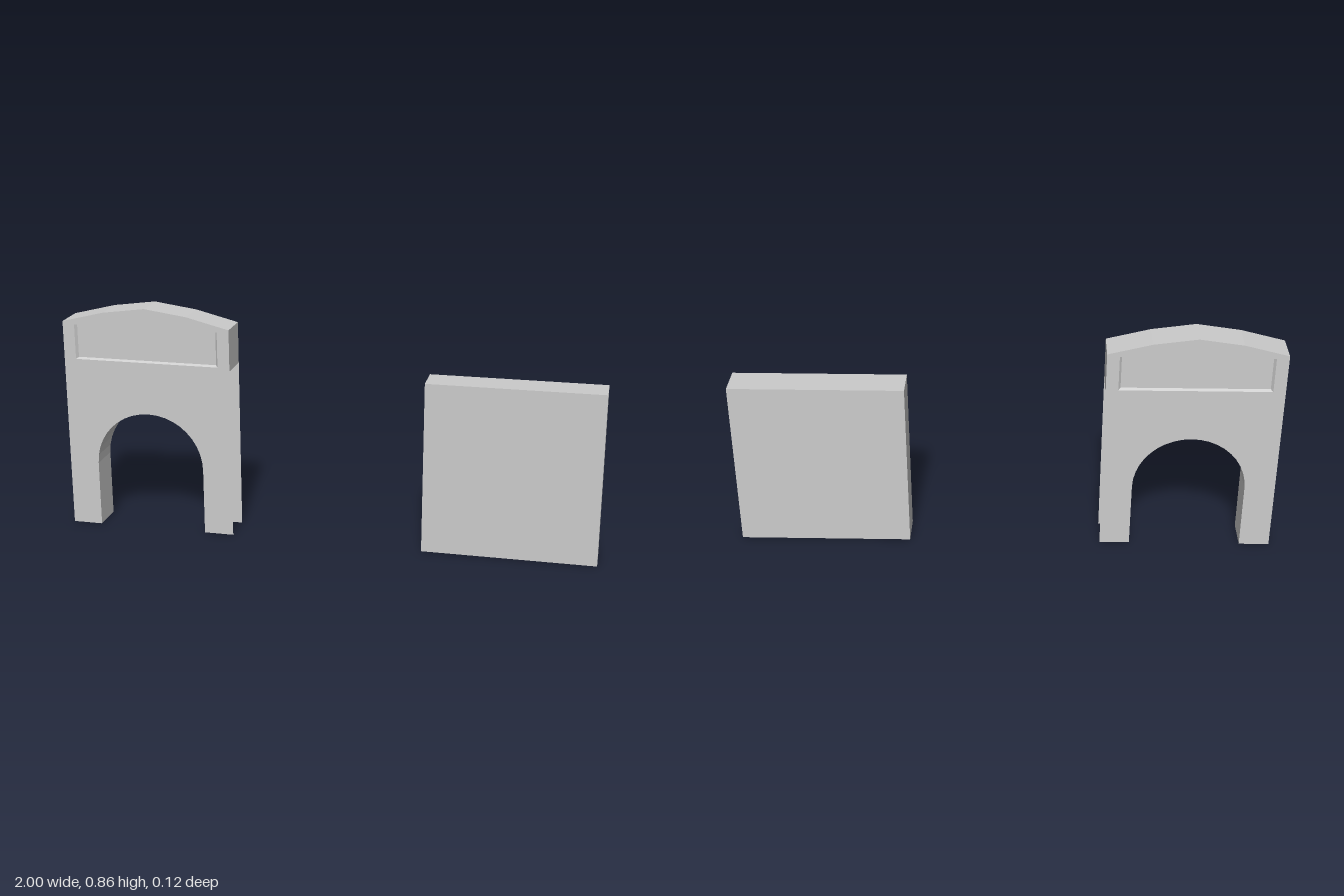
import * as THREE from 'three';

const HALF = 0.062;   // half thickness of both slabs
const CX = -0.68;     // centre line of the archway
const W = 0.32;       // half width of both slabs
const EAVE = 0.645;   // lower edge of the side returns

const material = new THREE.MeshStandardMaterial({
  color: 0xcccccc, flatShading: true, side: THREE.DoubleSide,
});

function mesh(name, geometry) {
  const m = new THREE.Mesh(geometry, material);
  m.name = name;
  return m;
}

// Ribbon joining two outlines with equal numbers of [x, y, z] points
function ribbon(a, b) {
  const pos = [];
  for (let i = 0; i < a.length - 1; i++) {
    pos.push(...a[i], ...b[i], ...b[i + 1], ...a[i], ...b[i + 1], ...a[i + 1]);
  }
  const g = new THREE.BufferGeometry();
  g.setAttribute('position', new THREE.Float32BufferAttribute(pos, 3));
  g.computeVertexNormals();
  return g;
}

const atZ = (points, z) => points.map(([x, y]) => [x, y, z]);
const rect = (x, y0, y1) => [[-x, y0], [x, y0], [x, y1], [-x, y1], [-x, y0]];
const toVectors = (points) => points.map(([x, y]) => new THREE.Vector2(x, y));

export function createModel() {
  const model = new THREE.Group();

  // Outlines of the archway, around its own centre line
  const roof = [[W, 0.8], [0.16, 0.84], [0, 0.862], [-0.16, 0.84], [-W, 0.8]];
  const opening = [[-0.208, 0]];
  const steps = 20;
  for (let i = 0; i <= steps; i++) {
    const t = Math.PI * (1 - i / steps);
    opening.push([0.208 * Math.cos(t), 0.25 + 0.208 * Math.sin(t)]);
  }
  opening.push([0.208, 0]);

  const outer = rect(0.275, 0.657, 0.79);
  const inner = rect(0.267, 0.663, 0.79);
  const depth = HALF - 0.01;

  const archway = new THREE.Group();
  archway.name = 'archway';
  archway.position.x = CX;

  // Front and back walls, each with a shallow sunken sign panel
  const wall = new THREE.Shape(toVectors([[-W, 0], ...opening, [W, 0], ...roof]));
  wall.holes.push(new THREE.Path(toVectors(outer.slice(0, 4))));
  const panel = new THREE.Shape(toVectors(inner.slice(0, 4)));
  for (const side of ['front', 'back']) {
    const face = new THREE.Group();
    face.name = side + 'Face';
    if (side === 'back') face.rotation.y = Math.PI;
    face.add(mesh('wall', new THREE.ShapeGeometry(wall).translate(0, 0, HALF)));
    face.add(mesh('panelFrame', ribbon(atZ(outer, HALF), atZ(inner, depth))));
    face.add(mesh('signPanel', new THREE.ShapeGeometry(panel).translate(0, 0, depth)));
    archway.add(face);
  }

  // Roof with short side returns; the sides below stay open
  const cap = [[W, EAVE], ...roof, [-W, EAVE]];
  archway.add(mesh('roofAndReturns', ribbon(atZ(cap, HALF), atZ(cap, -HALF))));

  // Lining of the arched opening
  archway.add(mesh('archLining', ribbon(atZ(opening, -HALF), atZ(opening, HALF))));
  model.add(archway);

  // Plain block, open underneath
  const block = new THREE.Group();
  block.name = 'plainBlock';
  block.position.x = -CX;
  const shell = [[W, 0], [W, EAVE], [-W, EAVE], [-W, 0]];
  block.add(mesh('blockTopAndSides', ribbon(atZ(shell, HALF), atZ(shell, -HALF))));
  for (const [name, angle] of [['blockFront', 0], ['blockBack', Math.PI]]) {
    const face = mesh(name, new THREE.PlaneGeometry(2 * W, EAVE).translate(0, EAVE / 2, HALF));
    face.rotation.y = angle;
    block.add(face);
  }
  model.add(block);

  return model;
}
